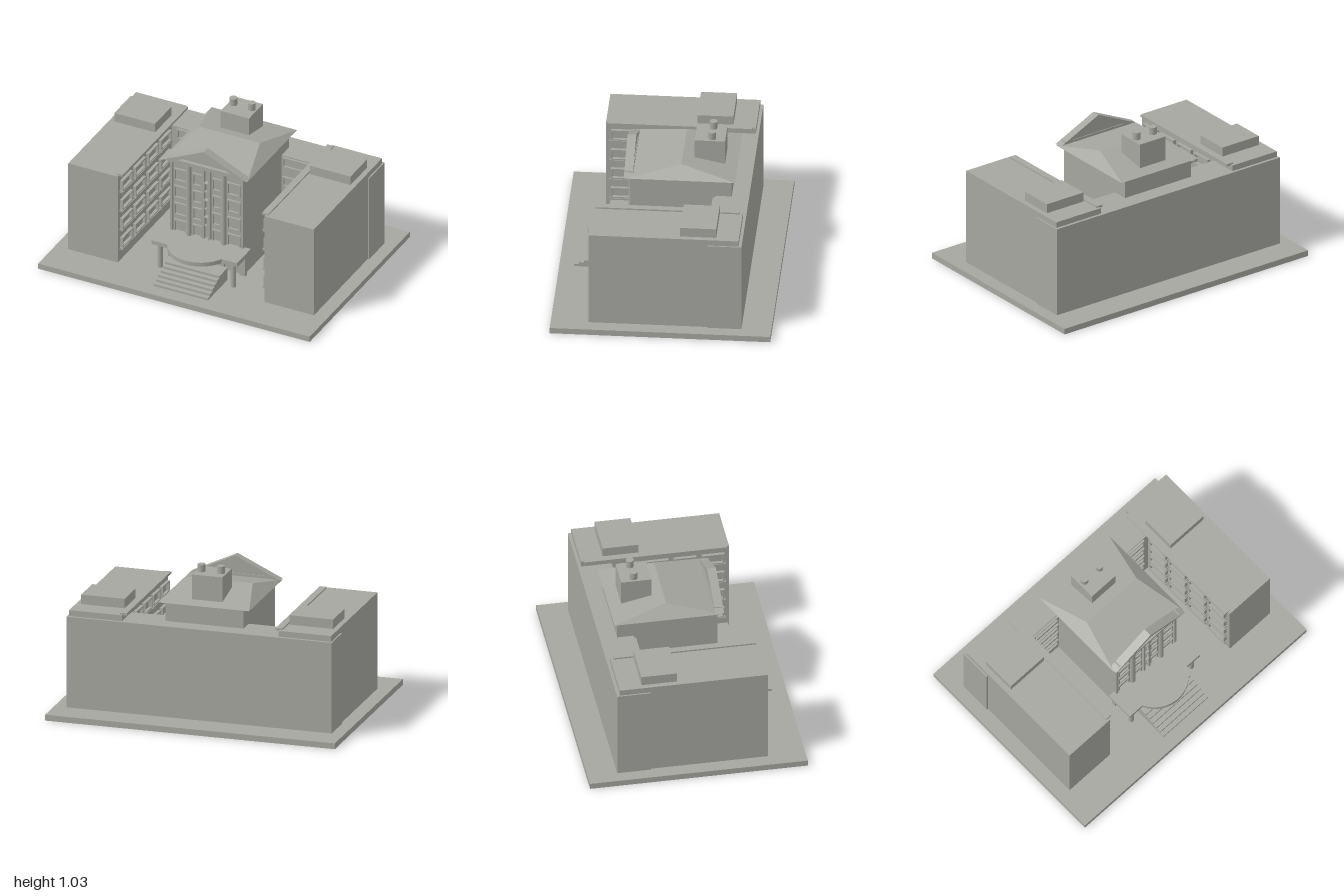
import * as THREE from 'three';

export function createModel() {
  const model = new THREE.Group();
  const stone = new THREE.MeshStandardMaterial({ color: 0xa6a6a0 });
  stone.name = 'greyStone';

  const add = (name, geometry, x = 0, y = 0, z = 0) => {
    const mesh = new THREE.Mesh(geometry, stone);
    mesh.name = name;
    mesh.position.set(x, y, z);
    model.add(mesh);
    return mesh;
  };
  // Box given by its limits on each axis
  const box = (name, x0, x1, y0, y1, z0, z1) => add(name,
    new THREE.BoxGeometry(Math.abs(x1 - x0), y1 - y0, z1 - z0),
    (x0 + x1) / 2, (y0 + y1) / 2, (z0 + z1) / 2);
  const column = (name, x, z, r, y0, y1) => add(name,
    new THREE.CylinderGeometry(r, r, y1 - y0, 20), x, (y0 + y1) / 2, z);
  const extrude = (shape, depth) =>
    new THREE.ExtrudeGeometry(shape, { depth, bevelEnabled: false, curveSegments: 24 });
  const polygon = pts => new THREE.Shape(pts.map(([x, y]) => new THREE.Vector2(x, y)));
  // Projecting rectangular window surround, facing +z
  const frame = (w, h, depth, t = 0.01) => {
    const rect = (a, b) => polygon([[-a, -b], [a, -b], [a, b], [-a, b]]);
    const s = rect(w / 2, h / 2);
    s.holes.push(rect(w / 2 - t, h / 2 - t));
    return extrude(s, depth);
  };

  // Ground slab and rear block
  box('groundSlab', -1, 1, 0, 0.04, -0.727, 0.727);
  box('rearBlock', -0.915, 0.915, 0.04, 0.665, -0.53, -0.305);

  const rows = [0.178, 0.324, 0.47, 0.618];
  for (const s of [-1, 1]) {
    // Side wing with roof box and inner cornice
    box('sideWing', s * 0.54, s * 0.905, 0.04, 0.705, -0.51, 0.478);
    box('wingRoofBox', s * 0.57, s * 0.87, 0.705, 0.77, -0.36, -0.122);
    box('wingCornice', s * 0.513, s * 0.56, 0.699, 0.715, -0.49, 0.46);

    for (const y of rows) {
      // Wing windows facing the courtyard
      for (let i = 0; i < 4; i++) {
        const z = 0.37 - i * 0.187;
        const f = add('wingWindowFrame', frame(0.15, 0.078, 0.022), s * 0.54, y, z);
        f.rotation.y = -s * Math.PI / 2;
        box('wingWindowSill', s * 0.513, s * 0.54, y - 0.052, y - 0.037, z - 0.082, z + 0.082);
      }
      // Rear courtyard windows
      add('courtWindowFrame', frame(0.217, 0.076, 0.015), s * 0.388, y, -0.305);
    }
  }

  // Central block
  box('centralBlock', -0.27, 0.27, 0.04, 0.8, -0.415, 0.235);
  for (const s of [-1, 1]) {
    for (const y of [0.285, 0.415, 0.547, 0.68]) {
      add('outerWindowFrame', frame(0.098, 0.095, 0.015), s * 0.196, y, 0.235);
      add('innerWindowFrame', frame(0.072, 0.095, 0.015), s * 0.073, y, 0.235);
    }
    column('facadeColumn', s * 0.128, 0.257, 0.018, 0.25, 0.8);
    box('centrePilaster', s * 0.016, s * 0.028, 0.25, 0.8, 0.235, 0.262);
    box('cornerPilaster', s * 0.252, s * 0.27, 0.25, 0.8, 0.235, 0.255);
  }
  for (const y of [0.388, 0.518, 0.65]) {
    add('centreWindowFrame', frame(0.03, 0.07, 0.03, 0.006), 0, y, 0.235);
  }

  // Hipped roof: a closed box whose top is drawn in to a ridge
  const roof = new THREE.BoxGeometry(0.63, 0.075, 0.72);
  const p = roof.attributes.position;
  for (let i = 0; i < p.count; i++) {
    if (p.getY(i) > 0) {
      p.setX(i, Math.sign(p.getX(i)) * 0.225);
      p.setZ(i, Math.sign(p.getZ(i)) * 0.001);
    }
  }
  roof.computeVertexNormals();
  add('hippedRoof', roof, 0, 0.8335, -0.08);

  // Gable: raking roof slabs, recessed panel and base beam
  add('gableRake', extrude(polygon([
    [-0.31, 0.8], [-0.21, 0.823], [0, 0.912], [0.21, 0.823], [0.31, 0.8], [0, 0.945],
  ]), 0.058), 0, 0, 0.235);
  add('gablePanel', extrude(polygon([[-0.24, 0.81], [0.24, 0.81], [0, 0.92]]), 0.02), 0, 0, 0.24);
  box('gableBeam', -0.27, 0.27, 0.797, 0.823, 0.235, 0.285);

  // Chimney block and flues
  box('chimneyBlock', -0.105, 0.105, 0.8, 0.984, -0.358, -0.157);
  for (const s of [-1, 1]) column('chimneyFlue', s * 0.067, -0.27, 0.026, 0.98, 1.035);

  // Entrance canopy with a bowed front edge
  const canopy = new THREE.Shape();
  canopy.moveTo(-0.315, -0.23);
  canopy.lineTo(-0.315, -0.43);
  canopy.lineTo(-0.2, -0.43);
  const a = Math.asin(0.097 / 0.2223);
  canopy.absarc(0, -0.333, 0.2223, Math.PI + a, 2 * Math.PI - a, false);
  canopy.lineTo(0.315, -0.43);
  canopy.lineTo(0.315, -0.23);
  add('entranceCanopy', extrude(canopy, 0.03), 0, 0.219, 0).rotation.x = -Math.PI / 2;
  for (const s of [-1, 1]) {
    column('canopyColumn', s * 0.27, 0.395, 0.018, 0.04, 0.22);
    box('canopyPier', s * 0.245, s * 0.285, 0.04, 0.22, 0.225, 0.255);
    add('entranceWindowFrame', frame(0.11, 0.1, 0.012), s * 0.187, 0.14, 0.235);
    add('entranceDoorFrame', frame(0.125, 0.14, 0.012), s * 0.063, 0.12, 0.235);
  }

  // Entrance steps, each one reaching back to the landing
  for (let i = 0; i < 6; i++) {
    box('entranceStep', -0.2, 0.2, 0.04 + i * 0.0155, 0.04 + (i + 1) * 0.0155,
      0.34, 0.63 - i * 0.0335);
  }
  return model;
}
